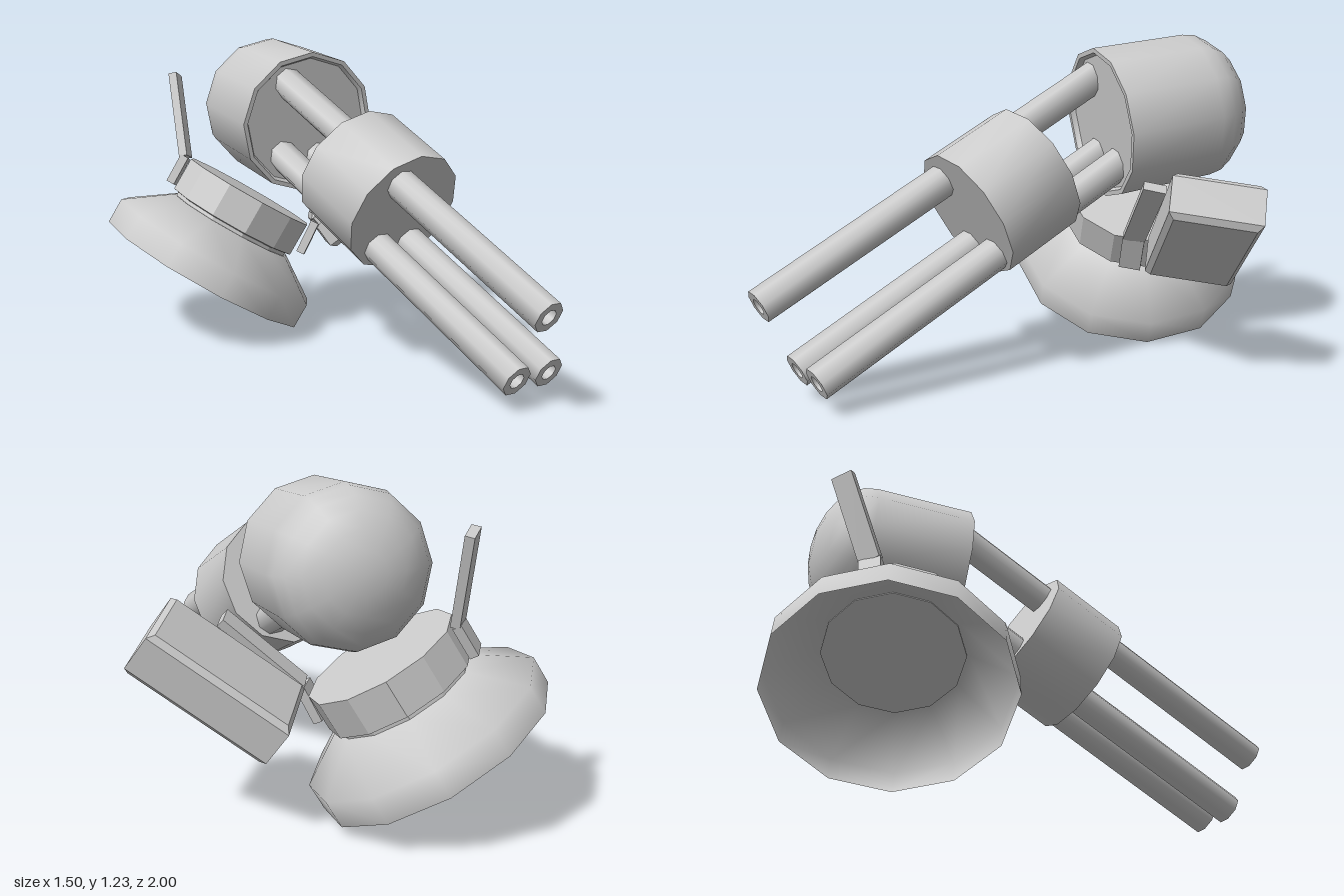
import * as THREE from 'three';
import { toCreasedNormals } from 'three/addons/utils/BufferGeometryUtils.js';

const V = (x, y, z) => new THREE.Vector3(x, y, z);
const UP = V(0, 1, 0);
const smooth = new THREE.MeshStandardMaterial({ color: 0xcccccc });
const faceted = new THREE.MeshStandardMaterial({ color: 0xcccccc, flatShading: true });
const shell = new THREE.MeshStandardMaterial({ color: 0xcccccc, side: THREE.DoubleSide });

// Turned part: [radius, height] profile standing at `from`, pointing along `dir`
function turned(name, profile, sides, from, dir, material = smooth, crease = 0.9, phase = 0) {
  const lathe = new THREE.LatheGeometry(profile.map(([r, h]) => new THREE.Vector2(r, h)), sides, phase);
  const mesh = new THREE.Mesh(toCreasedNormals(lathe, crease), material);
  mesh.name = name;
  mesh.position.copy(from);
  mesh.quaternion.setFromUnitVectors(UP, dir.clone().normalize());
  return mesh;
}

// Flat bar between two points, its width turned a little out of the z direction
function bar(a, b, width, thickness) {
  const y = b.clone().sub(a);
  const length = y.length();
  y.normalize();
  const x = y.clone().cross(V(-0.35, 0, 0.94)).normalize();
  const z = x.clone().cross(y);
  const mesh = new THREE.Mesh(new THREE.BoxGeometry(thickness, length, width), faceted);
  mesh.quaternion.setFromRotationMatrix(new THREE.Matrix4().makeBasis(x, y, z));
  mesh.position.copy(a).lerp(b, 0.5);
  return mesh;
}

// Two-part bent strip
function bentArm(name, points) {
  const arm = new THREE.Group();
  arm.name = name;
  for (let i = 0; i < points.length - 1; i++) arm.add(bar(points[i], points[i + 1], 0.085, 0.035));
  return arm;
}

export function createModel() {
  const model = new THREE.Group();
  model.name = 'turret';

  // Tilted base, open underneath, with a ring collar
  const baseAt = V(-0.35, 0.24, -0.53);
  const baseAxis = V(0.51, 0.86, 0);
  model.add(turned('base',
    [[0.466, 0], [0.466, 0.108], [0.28, 0.235], [0, 0.235]], 12, baseAt, baseAxis, shell, 1.1));
  model.add(turned('collar',
    [[0, 0.23], [0.27, 0.23], [0.27, 0.25], [0.293, 0.255], [0.293, 0.4], [0, 0.4]], 12, baseAt, baseAxis, faceted));

  // Bent arms on both sides of the collar
  model.add(bentArm('rightArm', [V(-0.475, 0.62, -0.61), V(-0.41, 0.73, -0.62), V(-0.435, 1.075, -0.74)]));
  model.add(bentArm('leftArm', [V(0.06, 0.325, -0.45), V(0.125, 0.455, -0.45), V(0.41, 0.71, -0.46)]));

  // Domed head with a shallow recessed mouth
  const head = [[0, 0.02], [0.265, 0.02], [0.275, 0], [0.293, 0]];
  for (let i = 0; i <= 6; i++) {
    const t = (i / 6) * Math.PI / 2;
    head.push([0.288 * Math.cos(t), 0.385 + 0.205 * Math.sin(t)]);
  }
  head[head.length - 1][0] = 0;
  model.add(turned('head', head, 12, V(0.065, 0.9, -0.32), V(-0.24, 0.115, -0.96), smooth, 0.9, Math.PI / 12));

  // Drum holding the barrels
  const aim = V(0.395, -0.44, 0.805).normalize();
  model.add(turned('drum',
    [[0, 0], [0.256, 0], [0.256, 0.33], [0, 0.33]], 12, V(0.187, 0.753, -0.045), aim));

  // Three bored barrels, placed by their muzzles
  const L = 1.6;
  const barrel = [[0, 0], [0.063, 0], [0.063, L], [0.032, L], [0.032, L - 0.12], [0, L - 0.12]];
  [V(0.602, 0.37, 0.965), V(0.543, 0.115, 0.845), V(0.69, 0.115, 0.775)].forEach((tip, i) => {
    model.add(turned('barrel' + (i + 1), barrel, 8, tip.addScaledVector(aim, -L), aim));
  });

  // Bevelled side box
  const b = 0.02, hl = 0.288 - b, hw = 0.168 - b, depth = 0.18 - 2 * b;
  const outline = new THREE.Shape([[-hl, -hw], [hl, -hw], [hl, hw], [-hl, hw]].map(([x, y]) => new THREE.Vector2(x, y)));
  const boxGeometry = new THREE.ExtrudeGeometry(outline,
    { depth, bevelEnabled: true, bevelSize: b, bevelThickness: b, bevelSegments: 1 });
  boxGeometry.translate(0, 0, -depth / 2);
  const box = new THREE.Mesh(boxGeometry, faceted);
  box.name = 'sideBox';
  const along = V(0.46, 0.33, 0.03).normalize();
  const normal = along.clone().cross(V(-0.06, 0.045, 0.32)).normalize();
  box.quaternion.setFromRotationMatrix(
    new THREE.Matrix4().makeBasis(along, normal.clone().cross(along), normal));
  box.position.set(0.422, 0.54, -0.642);
  model.add(box);

  return model;
}
